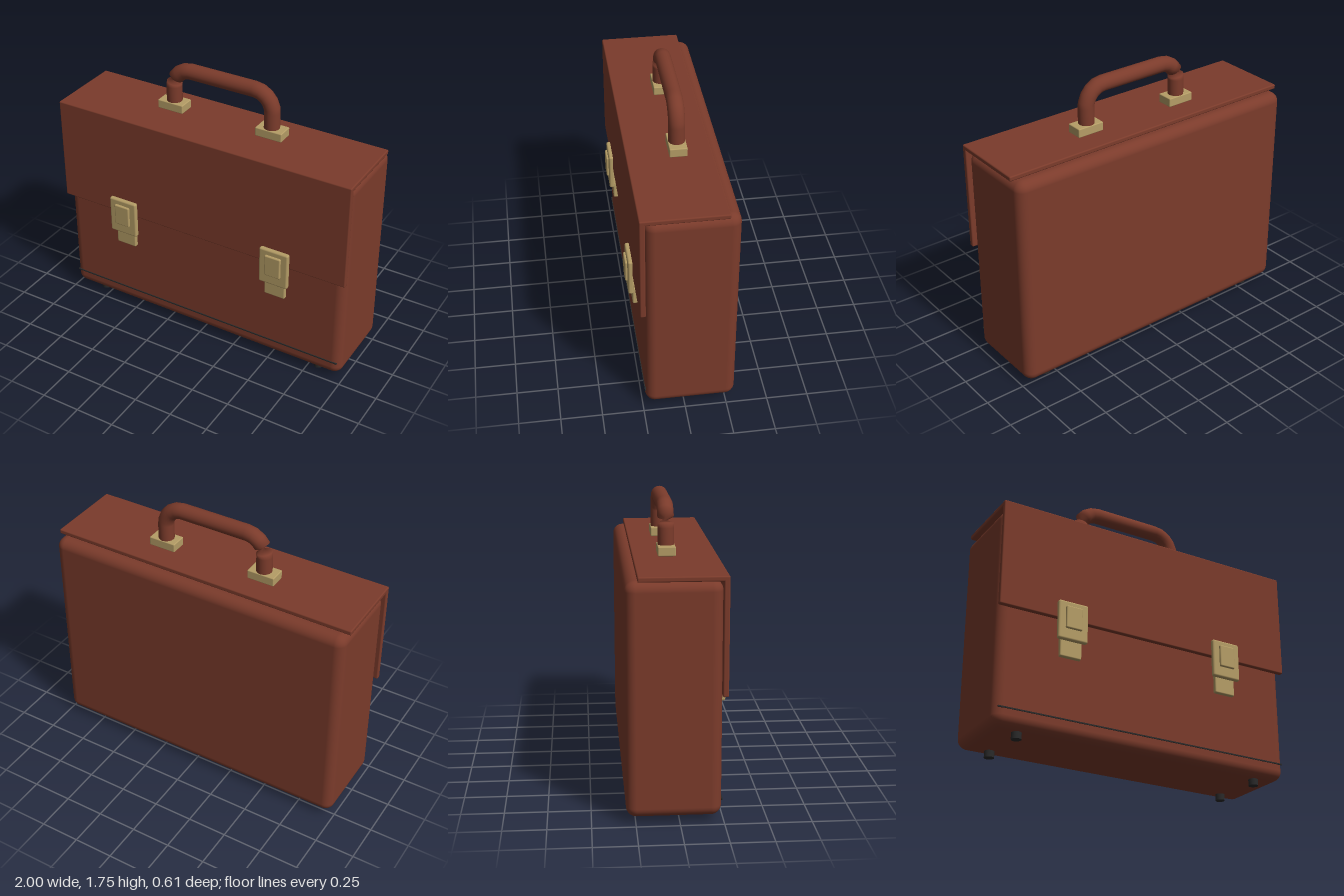
import * as THREE from 'three';
import { RoundedBoxGeometry } from 'three/addons/geometries/RoundedBoxGeometry.js';

const material = (name, color) => {
  const m = new THREE.MeshStandardMaterial({ color });
  m.name = name;
  return m;
};

// Tube swept along a list of centre points [x, y, tilt, roll] lying in the XY plane
function sweptTube(stations, radius, sides, z) {
  const positions = [], indices = [];
  stations.forEach(([x, y, tilt, roll], i) => {
    for (let j = 0; j < sides; j++) {
      const a = (j / sides) * Math.PI * 2 + roll;
      const across = Math.cos(a) * radius;
      positions.push(x + across * Math.cos(tilt), y - across * Math.sin(tilt), z - Math.sin(a) * radius);
      if (i === 0) continue;
      const k = (j + 1) % sides, p = (i - 1) * sides, q = i * sides;
      indices.push(p + j, p + k, q + j, p + k, q + k, q + j);
    }
  });
  const g = new THREE.BufferGeometry();
  g.setAttribute('position', new THREE.Float32BufferAttribute(positions, 3));
  g.setIndex(indices);
  g.computeVertexNormals();
  return g;
}

export function createModel() {
  const model = new THREE.Group();
  model.name = 'briefcase';
  const leather = material('brown leather', 0x7b3b2b);
  const brass = material('brass', 0xb59d66);
  const dark = material('dark rubber', 0x2a2a2a);

  const add = (name, geometry, mat, parent = model) => {
    const mesh = new THREE.Mesh(geometry, mat);
    mesh.name = name;
    parent.add(mesh);
    return mesh;
  };
  // Rounded box given by its limits on each axis
  const box = (name, [x0, x1], [y0, y1], [z0, z1], r, mat, parent, segments = 2) => {
    const g = new RoundedBoxGeometry(x1 - x0, y1 - y0, z1 - z0, segments, r);
    g.translate((x0 + x1) / 2, (y0 + y1) / 2, (z0 + z1) / 2);
    return add(name, g, mat, parent);
  };

  // Case body and folded-over flap
  box('body', [-0.99, 0.99], [0.04, 1.4], [-0.305, 0.235], 0.06, leather, model, 5);
  box('flapTop', [-1, 1], [1.4, 1.43], [-0.235, 0.265], 0.008, leather);
  box('flapFront', [-1, 1], [0.75, 1.43], [0.232, 0.265], 0.008, leather);

  // Thin seam line near the bottom of the front
  const seam = add('frontSeam', new THREE.BoxGeometry(1.94, 0.008, 0.008), dark);
  seam.position.set(0, 0.14, 0.236);

  // Latches: plate, raised button and lower catch
  for (const x of [-0.54, 0.54]) {
    const latch = new THREE.Group();
    latch.name = 'latch';
    latch.position.x = x;
    model.add(latch);
    box('latchPlate', [-0.097, 0.097], [0.612, 0.857], [0.258, 0.291], 0.012, brass, latch);
    box('latchButton', [-0.053, 0.053], [0.68, 0.822], [0.28, 0.305], 0.008, brass, latch);
    box('latchCatch', [-0.07, 0.07], [0.513, 0.63], [0.234, 0.264], 0.008, brass, latch);
  }

  // Handle mounts
  for (const x of [-0.34, 0.34]) {
    box('handleMount', [x - 0.088, x + 0.088], [1.43, 1.486], [-0.087, 0.018], 0.006, brass);
  }

  // Handle: straight posts and rounded elbows, with a half-turn pinch in the left elbow
  const bend = 0.12, armX = 0.338, topY = 1.706;
  const elbow = [0, 12, 32, 50, 70, 90].map(THREE.MathUtils.degToRad);
  const arc = (side, a, roll) => [
    side * (armX - bend + bend * Math.cos(a)),
    topY - bend + bend * Math.sin(a),
    side < 0 ? a : Math.PI - a,
    roll,
  ];
  const stations = [
    [-armX, 1.44, 0, 0],
    ...elbow.map((a, i) => arc(-1, a, i < 2 ? 0 : Math.PI)),
    ...[...elbow].reverse().map((a) => arc(1, a, Math.PI)),
    [armX, 1.44, Math.PI, Math.PI],
  ];
  add('handle', sweptTube(stations, 0.049, 20, -0.035), leather);

  // Feet
  for (const x of [-0.81, 0.81]) {
    for (const z of [-0.21, 0.148]) {
      const foot = add('foot', new THREE.CylinderGeometry(0.03, 0.03, 0.06, 16), dark);
      foot.position.set(x, 0.03, z);
    }
  }
  return model;
}
